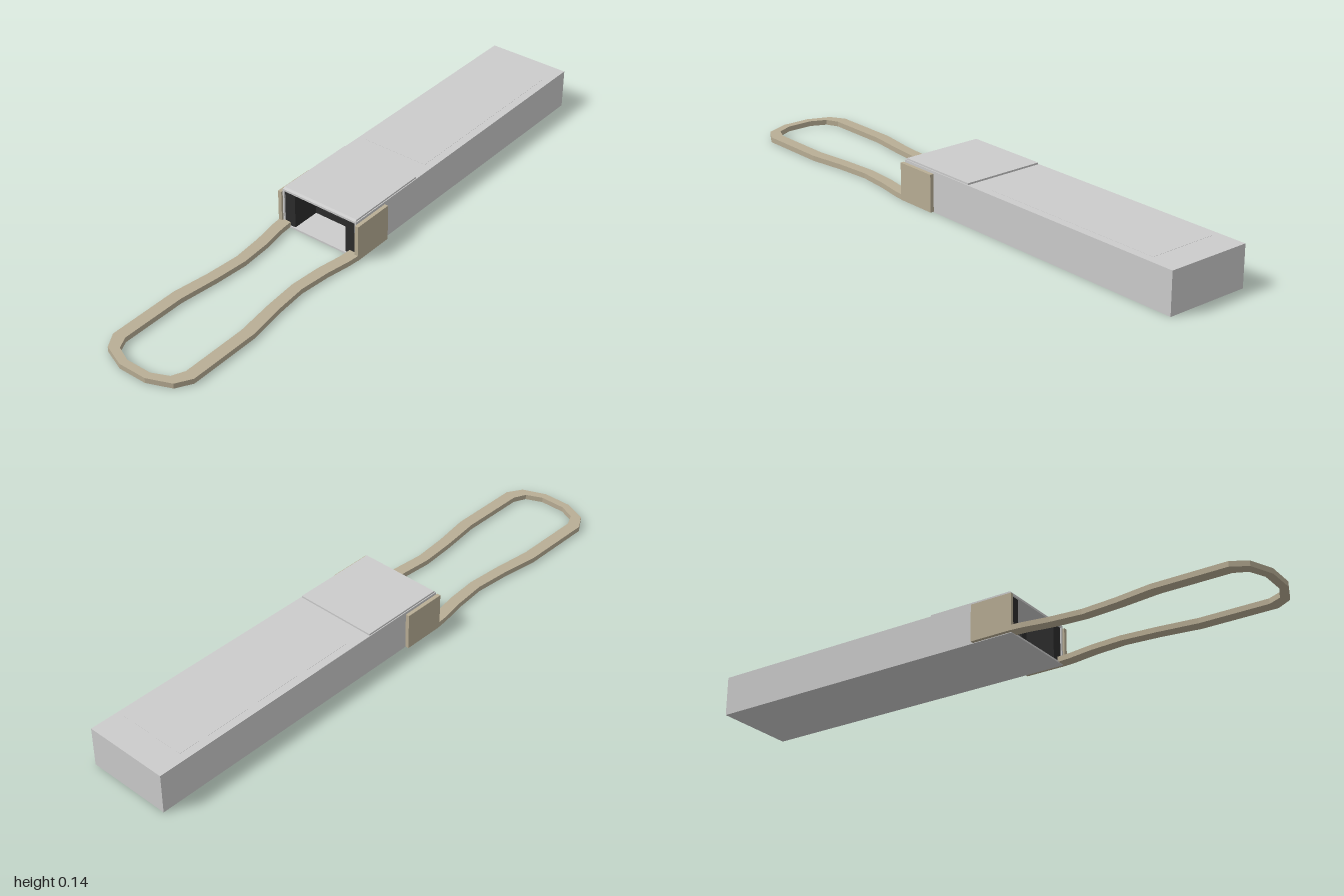
import * as THREE from 'three';

export function createModel() {
  const model = new THREE.Group();
  const mat = (name, color) => {
    const m = new THREE.MeshStandardMaterial({ color });
    m.name = name;
    return m;
  };
  const grey = mat('metal grey', 0xcccccc);
  const tan = mat('latch tan', 0xb9ae95);
  const black = mat('socket black', 0x2c2c2c);

  const add = (name, geometry, material) => {
    const mesh = new THREE.Mesh(geometry, material);
    mesh.name = name;
    model.add(mesh);
    return mesh;
  };
  // Box given by its minimum and maximum on each axis
  const box = (name, material, x0, x1, y0, y1, z0, z1) =>
    add(name, new THREE.BoxGeometry(x1 - x0, y1 - y0, z1 - z0), material)
      .position.set((x0 + x1) / 2, (y0 + y1) / 2, (z0 + z1) / 2);

  const rect = (Type, x, y0, y1) => new Type([
    [-x, y0], [x, y0], [x, y1], [-x, y1]
  ].map(p => new THREE.Vector2(...p)));
  // Rectangular frame running along z
  const frame = (name, material, outer, inner, z0, z1) => {
    const shape = rect(THREE.Shape, ...outer);
    shape.holes.push(rect(THREE.Path, ...inner));
    const g = new THREE.ExtrudeGeometry(shape, { depth: z1 - z0, bevelEnabled: false });
    add(name, g.translate(0, 0, z0), material);
  };

  // Casing: solid rear and hollow front
  box('rearCasing', grey, -0.148, 0.148, 0, 0.138, -1, -0.1);
  frame('frontCasing', grey, [0.148, 0, 0.138], [0.142, 0.006, 0.131], -0.1, 0.168);
  box('label', grey, -0.12, 0.12, 0.138, 0.1385, -0.9, -0.22);

  // Raised cover with a sloped front lip
  const cover = new THREE.Shape([[-0.168, 0.138], [0.14, 0.138], [0.14, 0.144], [-0.162, 0.144]]
    .map(p => new THREE.Vector2(...p)));
  const coverGeo = new THREE.ExtrudeGeometry(cover, { depth: 0.29, bevelEnabled: false });
  coverGeo.translate(0, 0, -0.145).rotateY(Math.PI / 2);
  add('topCover', coverGeo, grey);

  // Socket inside the opening
  frame('socketFace', black, [0.142, 0.006, 0.131], [0.075, 0.028, 0.111], -0.09, 0.06);
  box('socketBack', black, -0.1, 0.1, 0.01, 0.125, -0.099, -0.089);
  for (const s of [-1, 1]) {
    const a = s * 0.102, b = s * 0.1418;
    box('socketSide', black, Math.min(a, b), Math.max(a, b), 0.006, 0.131, 0.06, 0.163);
  }

  // Latch plates hugging the casing sides
  for (const s of [-1, 1]) {
    const a = s * 0.148, b = s * 0.161;
    box('latchPlate', tan, Math.min(a, b), Math.max(a, b), 0.002, 0.129, 0.025, 0.175);
  }

  // Pull loop: outer edge, then inner edge, mirrored about x = 0
  const outer = [[0.161, 0.165], [0.157, 0.21], [0.142, 0.3], [0.132, 0.41], [0.142, 0.53], [0.161, 0.66],
    [0.161, 0.915], [0.13, 0.967], [0.05, 1]];
  const inner = [[0.12, 0.165], [0.117, 0.21], [0.102, 0.3], [0.094, 0.41], [0.103, 0.53], [0.12, 0.67],
    [0.12, 0.905], [0.1, 0.948], [0.045, 0.973]];
  const flip = pts => pts.map(([x, z]) => [-x, z]);
  const outline = [...outer, ...flip(outer).reverse(), ...flip(inner), ...inner.slice().reverse()];
  const loop = new THREE.Shape(outline.map(([x, z]) => new THREE.Vector2(x, z)));
  const loopGeo = new THREE.ExtrudeGeometry(loop, { depth: 0.018, bevelEnabled: false });
  loopGeo.rotateX(Math.PI / 2).translate(0, 0.02, 0);
  add('pullLoop', loopGeo, tan);

  return model;
}
